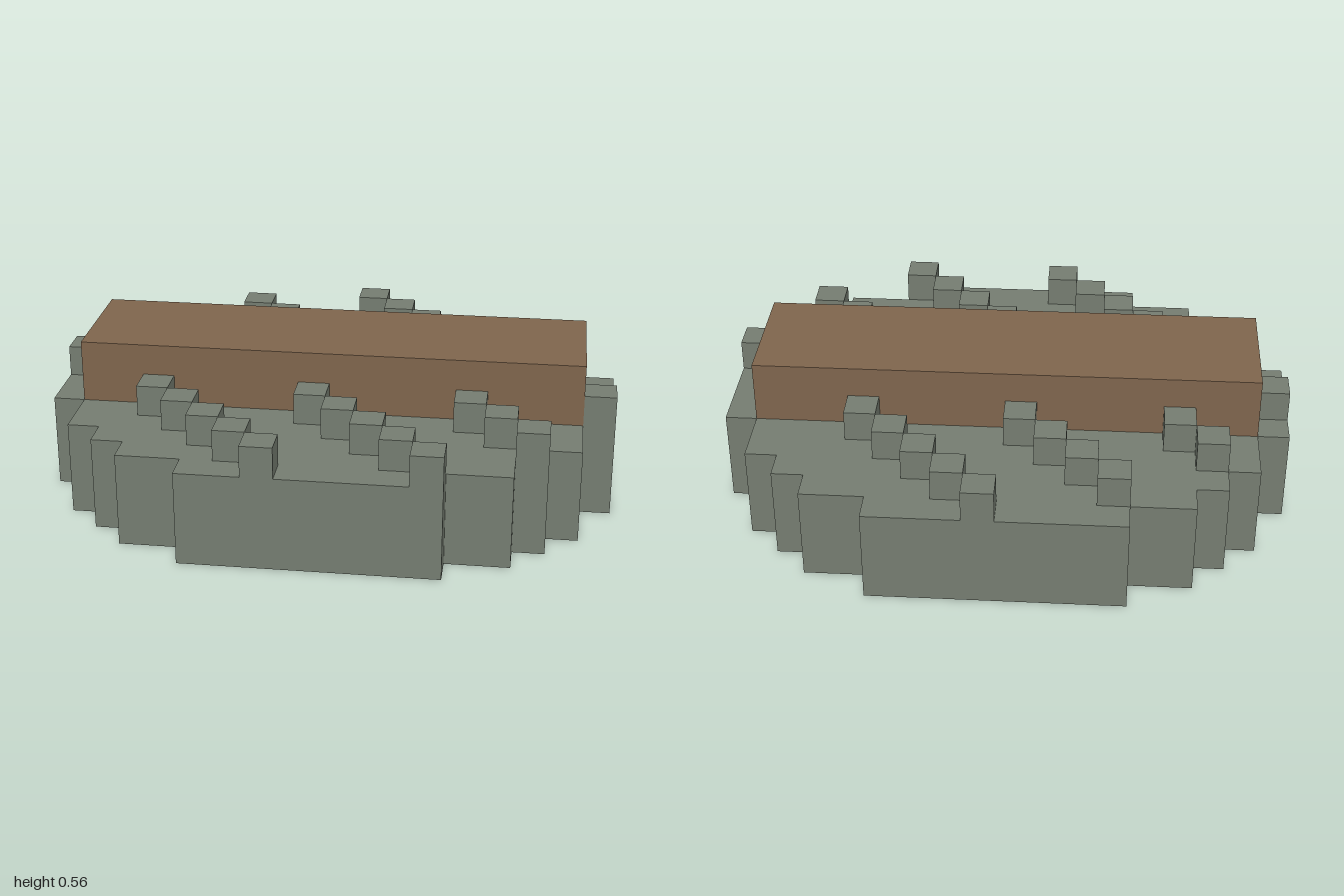
import * as THREE from 'three';

const U = 1 / 9; // one block
// half width of the slab, in blocks, for each row from the middle outwards
const HALF = [9, 9, 8, 8, 7, 6, 4];
const halfWidth = (row) => HALF[row >= 0 ? row : -row - 1] ?? 0;

const stone = new THREE.MeshStandardMaterial({ color: 0x757d71 });
stone.name = 'mossy stone';
const wood = new THREE.MeshStandardMaterial({ color: 0x7f654d });
wood.name = 'brown wood';

// box given by its low corner and size in blocks
function block(name, material, x, y, z, w, h, d) {
  const mesh = new THREE.Mesh(new THREE.BoxGeometry(w * U, h * U, d * U), material);
  mesh.name = name;
  mesh.position.set((x + w / 2) * U, (y + h / 2) * U, (z + d / 2) * U);
  return mesh;
}

export function createModel() {
  const model = new THREE.Group();
  model.name = 'steppedStoneWithBeam';

  // stepped oval slab: right edge going up, then its mirror coming down
  const side = [];
  for (let row = -7; row < 7; row++) {
    const w = halfWidth(row);
    if (row === -7 || halfWidth(row - 1) !== w) {
      if (row > -7) side.push([halfWidth(row - 1), row]);
      side.push([w, row]);
    }
  }
  side.push([halfWidth(6), 7]);
  const outline = [...side, ...side.map(([x, z]) => [-x, z]).reverse()];
  const shape = new THREE.Shape(outline.map(([x, z]) => new THREE.Vector2(x * U, z * U)));
  const geometry = new THREE.ExtrudeGeometry(shape, { depth: 3 * U, bevelEnabled: false });
  geometry.rotateX(-Math.PI / 2);
  const slab = new THREE.Mesh(geometry, stone);
  slab.name = 'slab';
  model.add(slab);

  // beam lying along the slab
  model.add(block('beam', wood, -8, 3, -2, 16, 2, 4));

  // diagonal rows of raised blocks, five apart, wherever the beam does not lie
  const ridges = new THREE.Group();
  ridges.name = 'ridges';
  for (let z = -7; z < 7; z++) {
    const w = halfWidth(z);
    for (let x = -w; x < w; x++) {
      const onRidge = (x - z + 18) % 5 === 0;
      const underBeam = z >= -2 && z < 2 && x >= -8 && x < 8;
      if (onRidge && !underBeam) ridges.add(block('ridgeBlock', stone, x, 3, z, 1, 1, 1));
    }
  }
  model.add(ridges);
  return model;
}
